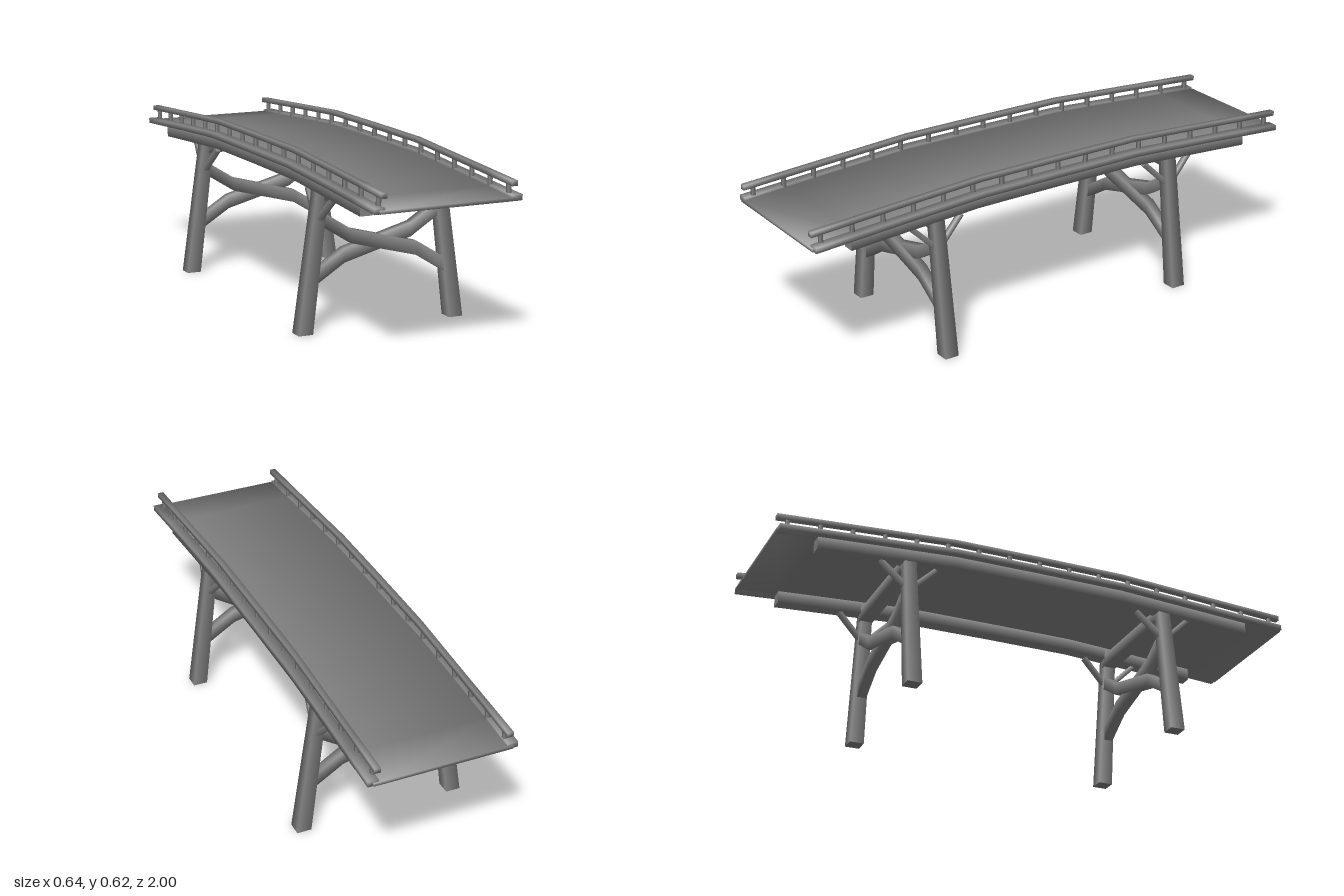
import * as THREE from 'three';
import { mergeVertices } from 'three/addons/utils/BufferGeometryUtils.js';

const material = new THREE.MeshStandardMaterial({ color: 0x848484 });

// Height of the bridge's gentle arch above its ends
const ARCH = [[0, 0.042], [1 / 3, 0.041], [2 / 3, 0.021], [1, 0]];
function arch(z) {
  const d = Math.min(Math.abs(z), 1);
  for (let i = 1; i < ARCH.length; i++) {
    const [a, ya] = ARCH[i - 1], [b, yb] = ARCH[i];
    if (d <= b) return ya + (yb - ya) * (d - a) / (b - a);
  }
  return 0;
}

// Moves every vertex by a rule
function bend(geometry, rule) {
  const p = geometry.attributes.position, v = new THREE.Vector3();
  for (let i = 0; i < p.count; i++) {
    rule(v.fromBufferAttribute(p, i));
    p.setXYZ(i, v.x, v.y, v.z);
  }
  return geometry;
}

function add(group, name, geometry) {
  const mesh = new THREE.Mesh(geometry, material);
  mesh.name = name;
  group.add(mesh);
  return mesh;
}

// Long box whose normals are shared across its edges for soft shading
function softBox(width, height, length) {
  const geometry = new THREE.BoxGeometry(width, height, length, 1, 1, 12);
  const p = geometry.attributes.position, n = new THREE.Vector3();
  for (let i = 0; i < p.count; i++) {
    const z = p.getZ(i);
    const end = Math.abs(z) > length / 2 - 0.001 ? Math.sign(z) : 0;
    n.set(Math.sign(p.getX(i)), Math.sign(p.getY(i)), end).normalize();
    geometry.attributes.normal.setXYZ(i, n.x, n.y, n.z);
  }
  return geometry;
}

// Four-sided upright timber with soft edges; h0 and h1 are half its thickness
function timber(h0, h1, length, segments = 1, open = false) {
  const r = Math.SQRT2;
  return new THREE.CylinderGeometry(h1 * r, h0 * r, length, 4, segments, open)
    .rotateY(Math.PI / 4);
}

// Straight timber between two points
function strut(group, name, from, to, half) {
  const a = new THREE.Vector3(...from), b = new THREE.Vector3(...to);
  const dir = b.clone().sub(a);
  const mesh = add(group, name, timber(half, half, dir.length()));
  mesh.position.copy(a).add(b).multiplyScalar(0.5);
  mesh.quaternion.setFromUnitVectors(new THREE.Vector3(0, 1, 0), dir.normalize());
}

// Squared beam that follows the arch, slightly waisted along each slope
function archedBeam(group, name, x, y, width, height, length) {
  add(group, name, bend(softBox(width, height, length), v => {
    const slope = Math.max(0, 1 - Math.abs(Math.abs(v.z) - 0.6) / 0.4);
    v.x = x + v.x * (1 - 0.15 * slope);
    v.y += y + arch(v.z);
  }));
}

// Bent cross-brace running from one leg down to the opposite one
function crossBrace(group, z, flip) {
  const path = [[-0.235, 0.405], [-0.118, 0.331], [0.14, 0.263], [0.258, 0.189]];
  const geometry = timber(0.025, 0.025, 3, 3, true).rotateZ(-Math.PI / 2);
  geometry.deleteAttribute('uv');
  geometry.deleteAttribute('normal');
  const brace = bend(mergeVertices(geometry), v => {
    const [x, y] = path[Math.round(v.x + 1.5)];
    const depth = v.z * 0.7;
    // The flipped brace is turned half round about the upright axis
    v.set(flip ? -x : x, v.y + y, z + (flip ? -depth : depth));
  });
  brace.computeVertexNormals();
  add(group, 'crossBrace', brace);
}

export function createModel() {
  const bridge = new THREE.Group();
  bridge.name = 'bridge';

  // Arched walkway
  add(bridge, 'deck', bend(softBox(0.51, 0.012, 2), v => {
    v.y += 0.516 + arch(v.z);
  }));

  for (const s of [-1, 1]) {
    const side = new THREE.Group();
    side.name = s > 0 ? 'leftRailing' : 'rightRailing';
    bridge.add(side);

    // Curb, handrail and the short posts between them
    archedBeam(side, 'curb', s * 0.254, 0.519, 0.04, 0.02, 1.99);
    archedBeam(side, 'handrail', s * 0.241, 0.569, 0.022, 0.018, 2);
    for (let i = -8; i <= 8; i++) {
      const z = i * 0.12;
      const post = add(side, 'post', timber(0.0065, 0.0065, 0.044));
      post.position.set(s * 0.241, 0.545 + arch(z), z);
    }

    // Long timber under the deck edge
    const girder = timber(0.023, 0.023, 1.7, 20).rotateX(Math.PI / 2);
    add(bridge, 'girder', bend(girder, v => {
      v.x += s * 0.228;
      v.y += 0.488 + arch(v.z);
    }));
  }

  // Two trestles carry the deck
  for (const t of [-1, 1]) {
    const trestle = new THREE.Group();
    trestle.name = t > 0 ? 'frontTrestle' : 'backTrestle';
    bridge.add(trestle);
    const z = t * 0.505;

    for (const s of [-1, 1]) {
      // Splayed leg, cut level at the ground
      add(trestle, 'leg', bend(timber(0.027, 0.022, 0.535), v => {
        v.y += 0.2675;
        v.x += s * (0.294 - 0.132 * v.y);
        v.z += z;
      }));
      // Knee braces from the leg up to the girder
      for (const k of [-1, 1]) {
        strut(trestle, 'kneeBrace', [s * 0.239, 0.395, z + k * 0.008],
          [s * 0.223, 0.49, z + k * 0.105], 0.009);
      }
    }

    strut(trestle, 'crossbeam', [-0.225, 0.489, z], [0.225, 0.489, z], 0.024);
    crossBrace(trestle, z + 0.005, false);
    crossBrace(trestle, z - 0.005, true);
  }

  return bridge;
}
